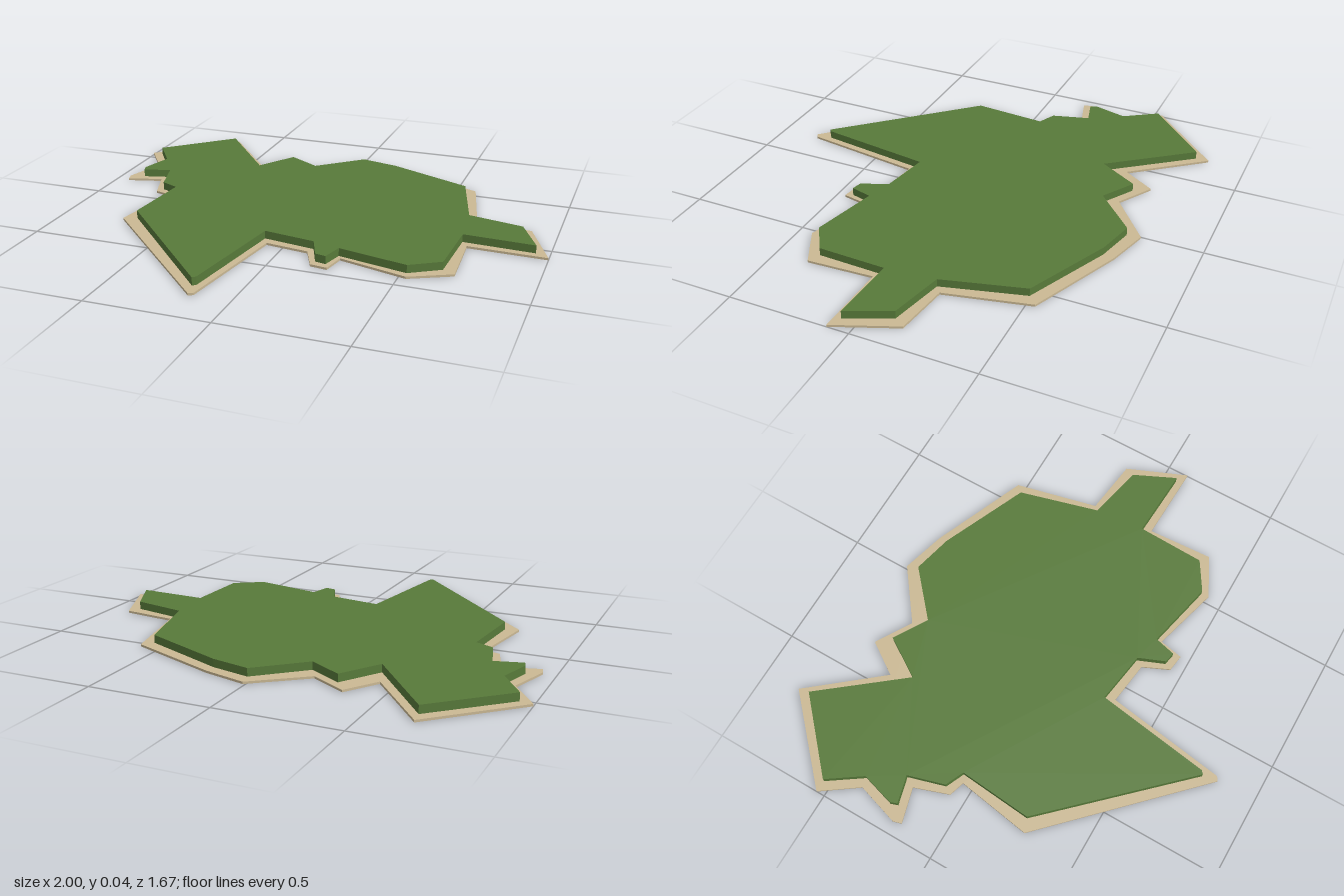
import * as THREE from 'three';

// Outlines as flat x, z pairs seen from above
const SHORE = [
  -0.68, -0.84, -0.44, -0.545, -0.35, -0.68, -0.2, -0.59, 0.01, -0.75, 0.19, -0.7, 0.585, -0.535,
  0.665, -0.19, 0.895, -0.16, 1, 0.09, 0.68, 0.08, 0.695, 0.355, 0.53, 0.437, 0.25, 0.36,
  0.23, 0.46, 0.16, 0.45, 0.11, 0.34, -0.07, 0.315, -0.147, 0.825, -0.165, 0.835, -0.73, 0.27,
  -0.68, -0.045, -0.745, -0.065, -0.795, -0.21, -0.94, -0.17, -0.95, -0.205, -0.895, -0.385, -1, -0.535,
];
const LAND = [
  -0.675, -0.785, -0.41, -0.45, -0.305, -0.615, -0.165, -0.53, 0.02, -0.695, 0.185, -0.655, 0.545, -0.497,
  0.635, -0.165, 0.865, -0.115, 0.947, 0.06, 0.655, 0.045, 0.645, 0.33, 0.525, 0.405, 0.238, 0.34,
  0.215, 0.43, 0.17, 0.42, 0.125, 0.31, -0.092, 0.275, -0.165, 0.76, -0.178, 0.772, -0.675, 0.25,
  -0.648, -0.06, -0.725, -0.095, -0.77, -0.25, -0.885, -0.22, -0.895, -0.25, -0.855, -0.39, -0.95, -0.53,
];

// Flat slab extruded upward from an outline
function slab(name, outline, y, height, color) {
  const points = [];
  for (let i = 0; i < outline.length; i += 2) points.push(new THREE.Vector2(outline[i], -outline[i + 1]));
  const geometry = new THREE.ExtrudeGeometry(new THREE.Shape(points), { depth: height, bevelEnabled: false });
  geometry.rotateX(-Math.PI / 2);
  geometry.translate(0, y, 0);
  const mesh = new THREE.Mesh(geometry, new THREE.MeshStandardMaterial({ color, flatShading: true }));
  mesh.name = name;
  return mesh;
}

export function createModel() {
  const group = new THREE.Group();
  group.name = 'island';
  // Thin sandy rim under the raised green land
  group.add(slab('shore', SHORE, 0, 0.009, 0xcbb994));
  group.add(slab('land', LAND, 0.009, 0.033, 0x587a3a));
  return group;
}
